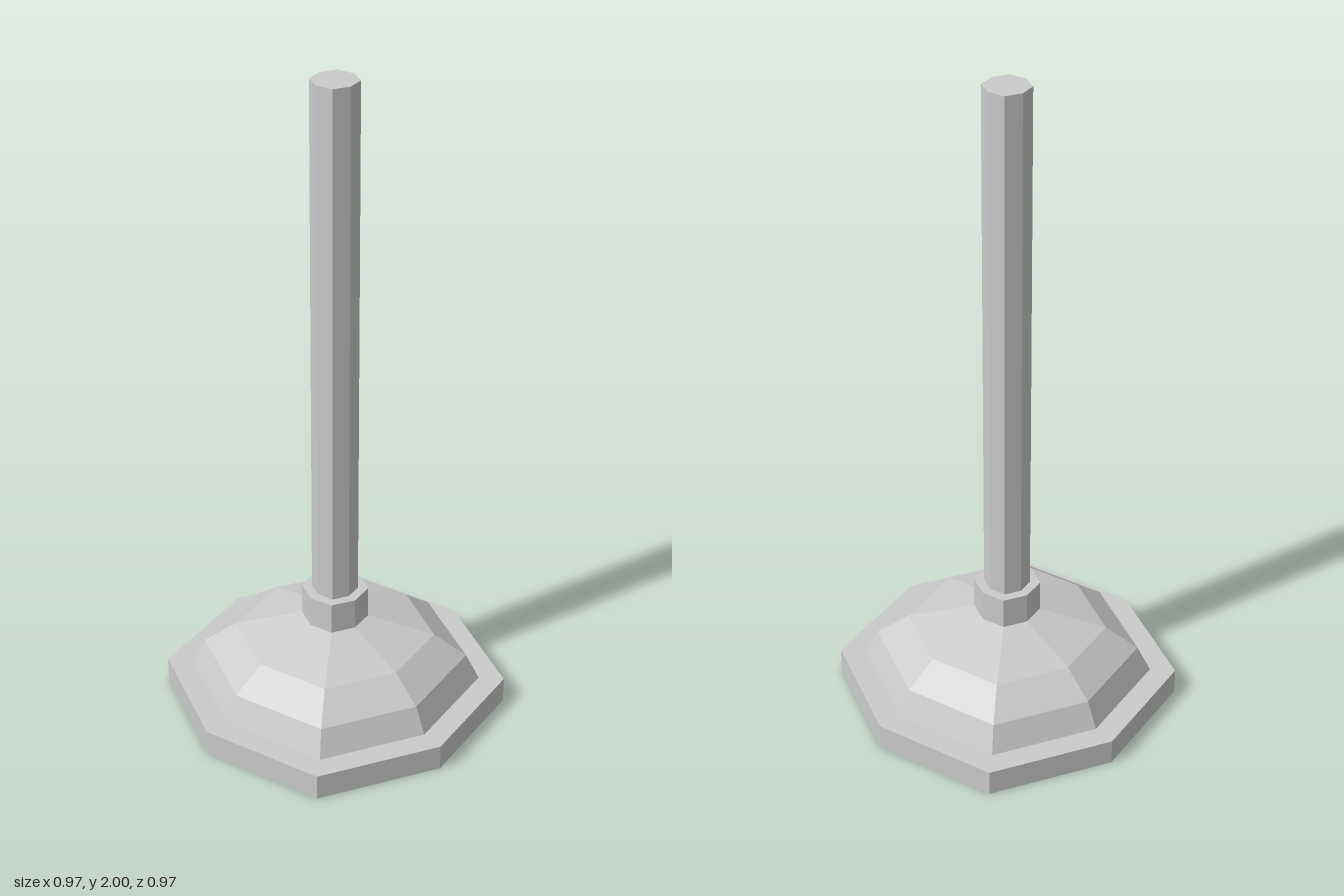
import * as THREE from 'three';

const SIDES = 8;
const DIAGONAL = 1.06; // corners between the axes sit slightly further out

// Faceted octagonal turning; profile runs so the surface faces its right-hand side
function turned(name, profile) {
  const points = profile.map(([r, y]) => new THREE.Vector2(r, y));
  const lathe = new THREE.LatheGeometry(points, SIDES);
  const pos = lathe.attributes.position;
  for (let i = 0; i < pos.count; i++) {
    const segment = Math.floor(i / points.length);
    if (segment % 2 === 1) {
      pos.setX(i, pos.getX(i) * DIAGONAL);
      pos.setZ(i, pos.getZ(i) * DIAGONAL);
    }
  }
  const geometry = lathe.toNonIndexed();
  geometry.computeVertexNormals();
  const material = new THREE.MeshStandardMaterial({ color: 0xcccccc, flatShading: true });
  const mesh = new THREE.Mesh(geometry, material);
  mesh.name = name;
  return mesh;
}

export function createModel() {
  const plunger = new THREE.Group();
  plunger.name = 'plunger';

  // Flat rim around the mouth of the cup
  plunger.add(turned('rim', [[0.413, 0], [0.485, 0], [0.485, 0.08], [0.413, 0.08]]));

  // Outer dome of the cup
  plunger.add(turned('cupOutside', [[0.413, 0.08], [0.375, 0.16], [0.283, 0.23], [0.094, 0.287]]));

  // Hollow underside of the cup
  plunger.add(turned('cupInside', [[0, 0.2], [0.094, 0.2], [0.23, 0.16], [0.413, 0]]));

  // Socket that holds the handle
  plunger.add(turned('collar', [[0.094, 0.28], [0.094, 0.385], [0.065, 0.385]]));

  // Long straight handle
  plunger.add(turned('handle', [[0.065, 0.3], [0.065, 2], [0, 2]]));

  return plunger;
}
